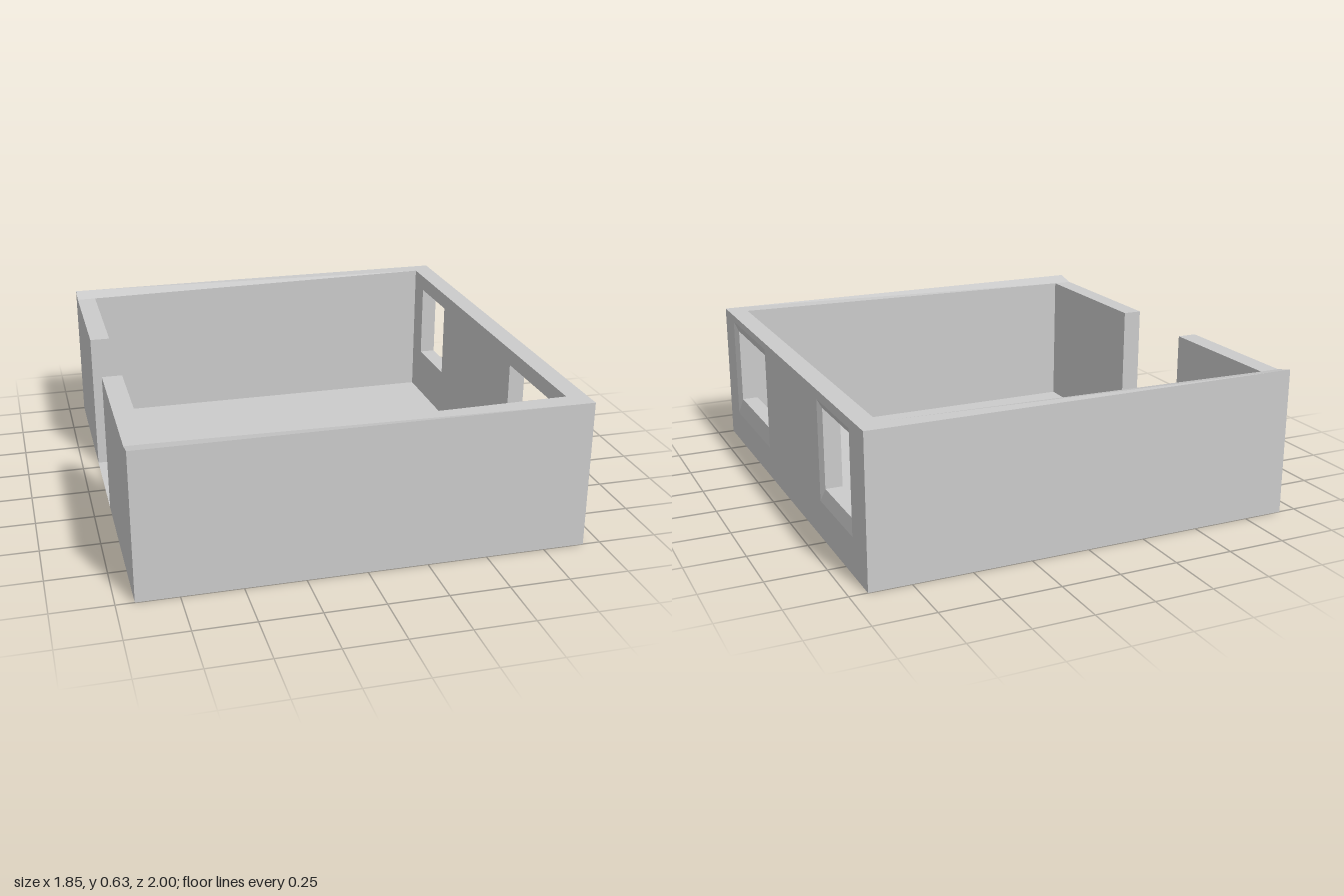
import * as THREE from 'three';

const material = new THREE.MeshStandardMaterial({ color: 0xcccccc, side: THREE.DoubleSide, flatShading: true });

// outer and inner wall planes, top heights, door opening
const XO = 0.925, XI = 0.84, ZB = -1, ZF = 1, ZBI = -0.92, ZFI = 0.91;
const H = 0.63, HL = 0.61, DOOR = [-0.3, 0.18], RECESS = 0.013;

// each rectangle is [zMin, zMax, yMin, yMax]
const windows = [
  { hole: [0.35, 0.81, 0.22, 0.56], bevel: [0.30, 0.85, 0.14, 0.60] },
  { hole: [-0.80, -0.48, 0.22, 0.56], bevel: [-0.84, -0.45, 0.16, 0.59] },
];

// mesh made of four-cornered patches
function patches(name, quads) {
  const pos = [];
  for (const [a, b, c, d] of quads) pos.push(...a, ...b, ...c, ...a, ...c, ...d);
  const geo = new THREE.BufferGeometry();
  geo.setAttribute('position', new THREE.Float32BufferAttribute(pos, 3));
  geo.computeVertexNormals();
  const mesh = new THREE.Mesh(geo, material);
  mesh.name = name;
  return mesh;
}

// corners of a z/y rectangle at a given x, counter-clockwise seen from +x
const ring = (x, [z0, z1, y0, y1]) => [[x, y0, z1], [x, y0, z0], [x, y1, z0], [x, y1, z1]];

// patches joining two rectangles
const bridge = (a, b) => a.map((p, i) => [p, a[(i + 1) % 4], b[(i + 1) % 4], b[i]]);

// wall sheet in the z/y plane with rectangular openings
function piercedSheet(name, x, z0, z1, holes) {
  const path = (r) => ring(0, r).map(([, y, z]) => new THREE.Vector2(-z, y));
  const shape = new THREE.Shape(path([z0, z1, 0, H]));
  for (const h of holes) shape.holes.push(new THREE.Path(path(h)));
  const geo = new THREE.ShapeGeometry(shape).rotateY(Math.PI / 2).translate(x, 0, 0);
  const mesh = new THREE.Mesh(geo, material);
  mesh.name = name;
  return mesh;
}

export function createModel() {
  const room = new THREE.Group();
  room.name = 'room';

  // floor, with a strip running under the door out to both side walls
  const floorQuad = (x0, x1, z0, z1) => [[x0, 0, z1], [x1, 0, z1], [x1, 0, z0], [x0, 0, z0]];
  room.add(patches('floor', [
    floorQuad(-XI, XI, ZBI, DOOR[0]),
    floorQuad(-XO, XO, ...DOOR),
    floorQuad(-XI, XI, DOOR[1], ZFI),
  ]));

  // window wall: outer sheet, inner sheet, bevelled reveals
  room.add(piercedSheet('windowWallOutside', XO, ZB, ZF, windows.map((w) => w.bevel)));
  room.add(piercedSheet('windowWallInside', XI, ZBI, ZFI, windows.map((w) => w.hole)));
  for (const { hole, bevel } of windows) {
    const lip = ring(XO - RECESS, hole);
    room.add(patches('windowReveal', [
      ...bridge(ring(XO, bevel), lip),
      ...bridge(lip, ring(XI, hole)),
    ]));
  }
  room.add(patches('windowWallTop', [
    [[XI, H, ZFI], [XO, H, ZFI], [XO, H, ZBI], [XI, H, ZBI]],
  ]));

  // front and back walls, whose tops dip towards the door side
  for (const [name, zo, zi] of [['frontWall', ZF, ZFI], ['backWall', ZB, ZBI]]) {
    const quads = [
      [[-XO, 0, zo], [XO, 0, zo], [XO, H, zo], [-XO, H, zo]],
      [[XI, 0, zi], [-XI, 0, zi], [-XI, HL, zi], [XI, H, zi]],
      [[-XI, HL, zi], [XI, H, zi], [XI, H, zo], [-XI, H, zo]],
      [[XI, H, zi], [XO, H, zi], [XO, H, zo], [XI, H, zo]],
      [[-XO, HL, zi], [-XI, HL, zi], [-XI, H, zo], [-XO, H, zo]],
    ];
    // keep the winding outward on the mirrored wall
    room.add(patches(name, zo > 0 ? quads : quads.map((q) => q.slice().reverse())));
  }

  // door wall: one hollow section on each side of the full-height opening
  for (const [zo, zi, zd] of [[ZF, ZFI, DOOR[1]], [ZB, ZBI, DOOR[0]]]) {
    const quads = [
      [[-XO, 0, zd], [-XO, 0, zi], [-XO, HL, zi], [-XO, HL, zd]],
      [[-XO, 0, zi], [-XO, 0, zo], [-XO, H, zo], [-XO, HL, zi]],
      [[-XI, 0, zi], [-XI, 0, zd], [-XI, HL, zd], [-XI, HL, zi]],
      [[-XO, HL, zi], [-XI, HL, zi], [-XI, HL, zd], [-XO, HL, zd]],
      [[-XI, 0, zd], [-XO, 0, zd], [-XO, HL, zd], [-XI, HL, zd]],
    ];
    room.add(patches('doorWall', zo > 0 ? quads : quads.map((q) => q.slice().reverse())));
  }

  return room;
}
